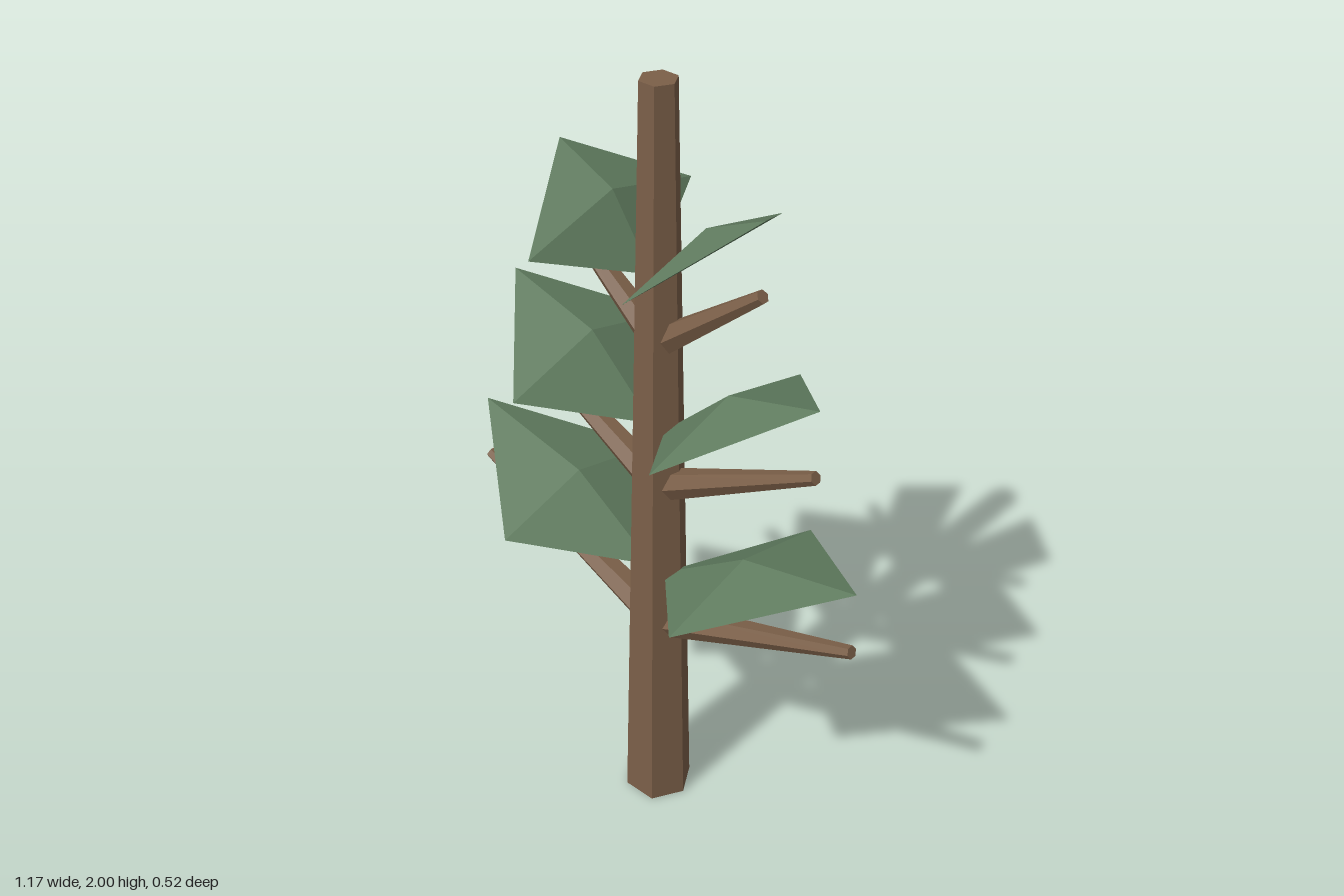
import * as THREE from 'three';

const wood = new THREE.MeshStandardMaterial({ name: 'bark brown', color: 0x7b5f48, flatShading: true });
const green = new THREE.MeshStandardMaterial({ name: 'leaf green', color: 0x617d60, flatShading: true });

// Six-sided tapered limb running from point a to point b in the xy plane
function limb(name, a, b, rStart, rEnd) {
  const dx = b[0] - a[0], dy = b[1] - a[1];
  const mesh = new THREE.Mesh(new THREE.CylinderGeometry(rEnd, rStart, Math.hypot(dx, dy), 6), wood);
  mesh.position.set((a[0] + b[0]) / 2, (a[1] + b[1]) / 2, 0);
  mesh.rotation.z = Math.atan2(-dx, dy);
  mesh.name = name;
  return mesh;
}

// Diamond-shaped foliage: flat underside, low four-sided peak on top
function foliage(inner, tip, side, peakY) {
  const I = [...inner, 0], T = [...tip, 0], A = [side[0], peakY, 0];
  const F = [...side, 0.26], B = [...side, -0.26];
  const faces = [A, T, B, A, B, I, A, I, F, A, F, T, T, F, I, T, I, B];
  const geo = new THREE.BufferGeometry();
  geo.setAttribute('position', new THREE.Float32BufferAttribute(faces.flat(), 3));
  geo.computeVertexNormals();
  const mesh = new THREE.Mesh(geo, green);
  mesh.name = 'foliage';
  return mesh;
}

const tiers = [
  { name: 'lower', base: [0.02, 0.57], end: [0.58, 0.797], r: 0.044,
    inner: [0.02, 0.722], tip: [0.58, 0.965], side: [0.262, 0.826], peak: 0.893 },
  { name: 'middle', base: [0.02, 0.99], end: [0.45, 1.22], r: 0.039,
    inner: [0.02, 1.145], tip: [0.45, 1.393], side: [0.204, 1.251], peak: 1.323 },
  { name: 'upper', base: [0.02, 1.39], end: [0.287, 1.605], r: 0.036,
    inner: [0.02, 1.54], tip: [0.287, 1.78], side: [0.132, 1.64], peak: 1.708 },
];

export function createModel() {
  const tree = new THREE.Group();
  tree.name = 'tree';

  // Trunk with a flat face to the front
  const trunk = limb('trunk', [0, 0], [0, 2], 0.088, 0.043);
  trunk.geometry.rotateY(Math.PI / 6);
  tree.add(trunk);

  // Branch and foliage pairs, turned half round for the right side
  for (const t of tiers) {
    for (const side of ['Left', 'Right']) {
      const bough = new THREE.Group();
      bough.name = t.name + side + 'Bough';
      bough.add(limb('branch', t.base, t.end, t.r, 0.016));
      bough.add(foliage(t.inner, t.tip, t.side, t.peak));
      if (side === 'Right') bough.rotation.y = Math.PI;
      tree.add(bough);
    }
  }
  return tree;
}
